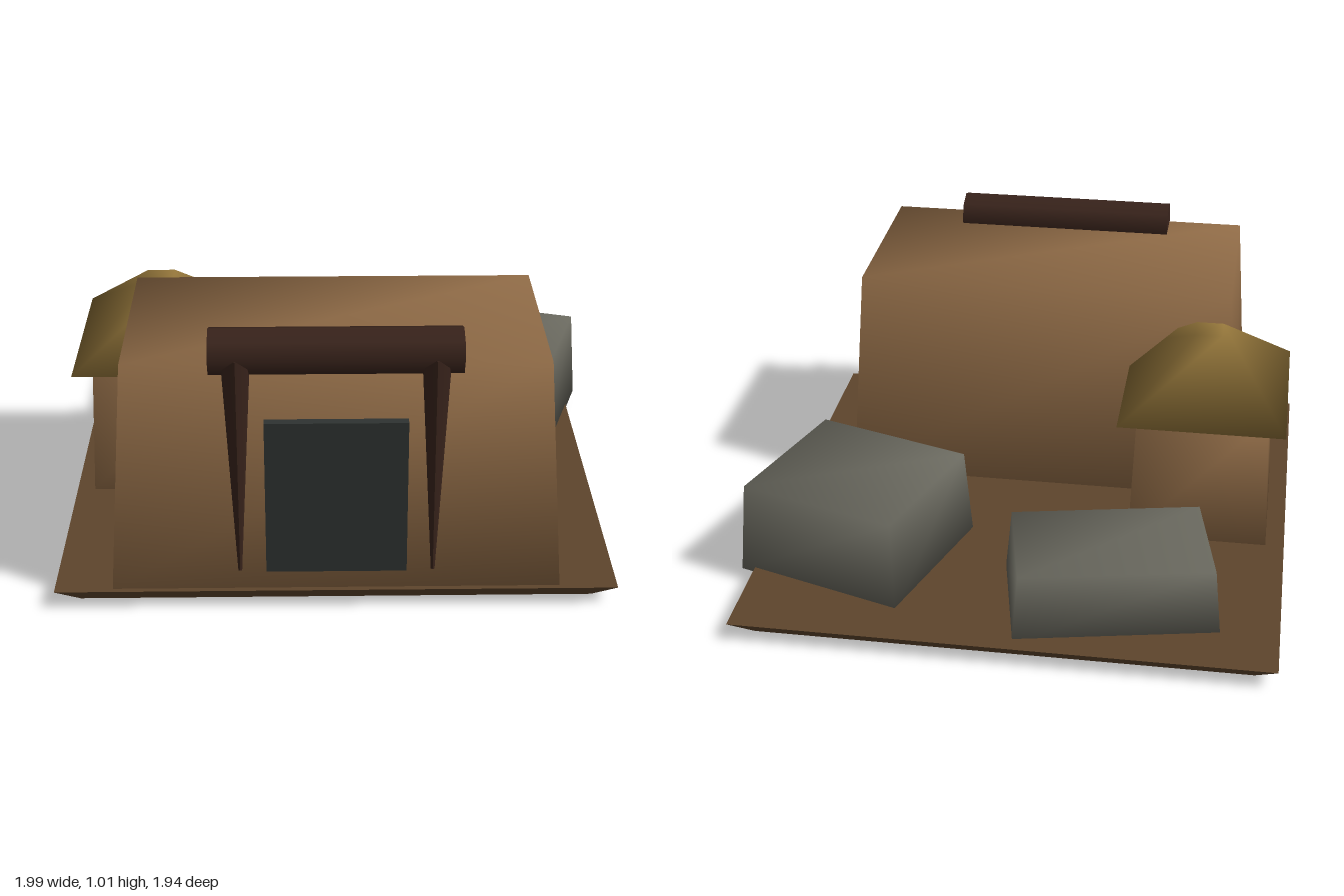
import * as THREE from 'three';
import { mergeVertices } from 'three/addons/utils/BufferGeometryUtils.js';

// Box whose bottom and top rectangles differ: [width, depth] at y0 and y1.
function taperedBox(bottom, top, y0, y1, smooth = true) {
  let geo = new THREE.BoxGeometry(1, 1, 1);
  const p = geo.attributes.position;
  for (let i = 0; i < p.count; i++) {
    const up = p.getY(i) > 0;
    const [w, d] = up ? top : bottom;
    p.setXYZ(i, p.getX(i) * w, up ? y1 : y0, p.getZ(i) * d);
  }
  if (smooth) {
    // shared corners give soft shading across the edges
    geo.deleteAttribute('normal');
    geo.deleteAttribute('uv');
    geo = mergeVertices(geo);
  }
  geo.computeVertexNormals();
  return geo;
}

export function createModel() {
  const group = new THREE.Group();
  const mat = (color) => new THREE.MeshStandardMaterial({ color });
  const earth = mat(0x5e452c), clay = mat(0x96704a), stone = mat(0x6a695f);
  const wood = mat(0x38231b), slate = mat(0x2e3331), thatch = mat(0x93753a);

  function add(name, geo, material, x = 0, y = 0, z = 0, turn = 0) {
    const mesh = new THREE.Mesh(geo, material);
    mesh.name = name;
    mesh.position.set(x, y, z);
    mesh.rotation.y = turn;
    group.add(mesh);
    return mesh;
  }

  // ground slab, wider at the top
  add('groundSlab', taperedBox([1.78, 1.8], [1.94, 1.94], 0, 0.07, false), earth, -0.03);

  // main house and its door
  add('house', taperedBox([1.54, 0.79], [1.42, 0.73], 0.07, 0.91), clay, -0.03, 0, 0.555);
  add('door', new THREE.BoxGeometry(0.48, 0.57, 0.06), slate, -0.03, 0.425, 0.93);

  // lintel log, slightly flattened
  const log = new THREE.CylinderGeometry(0.09, 0.09, 0.84, 8);
  log.rotateZ(Math.PI / 2);
  log.scale(1, 0.08 / 0.09, 1);
  add('lintel', log, wood, -0.03, 0.93, 0.86);

  // pointed posts with an upright front edge
  for (const [name, x] of [['rightPost', -0.36], ['leftPost', 0.3]]) {
    const post = new THREE.CylinderGeometry(0.06, 0.008, 0.79, 8);
    const p = post.attributes.position;
    for (let i = 0; i < p.count; i++) {
      p.setZ(i, p.getZ(i) - (p.getY(i) > 0 ? 0.06 : 0.008));
    }
    post.computeVertexNormals();
    add(name, post, wood, x, 0.535, 0.952);
  }

  // side hut with an overhanging roof
  add('hutWalls', taperedBox([0.52, 0.5], [0.48, 0.48], 0.09, 0.62), clay, -0.67, 0, 0.042);
  add('hutRoof', taperedBox([0.61, 0.705], [0.1, 0.11], 0.61, 0.855), thatch, -0.67, 0, 0.042);

  // stone blocks behind the house
  add('largeStone', taperedBox([0.655, 0.605], [0.61, 0.56], 0.05, 0.4), stone, 0.59, 0, -0.4, -0.31);
  add('smallStone', taperedBox([0.735, 0.475], [0.69, 0.43], 0.05, 0.31), stone, -0.385, 0, -0.605, 0.2);

  return group;
}
